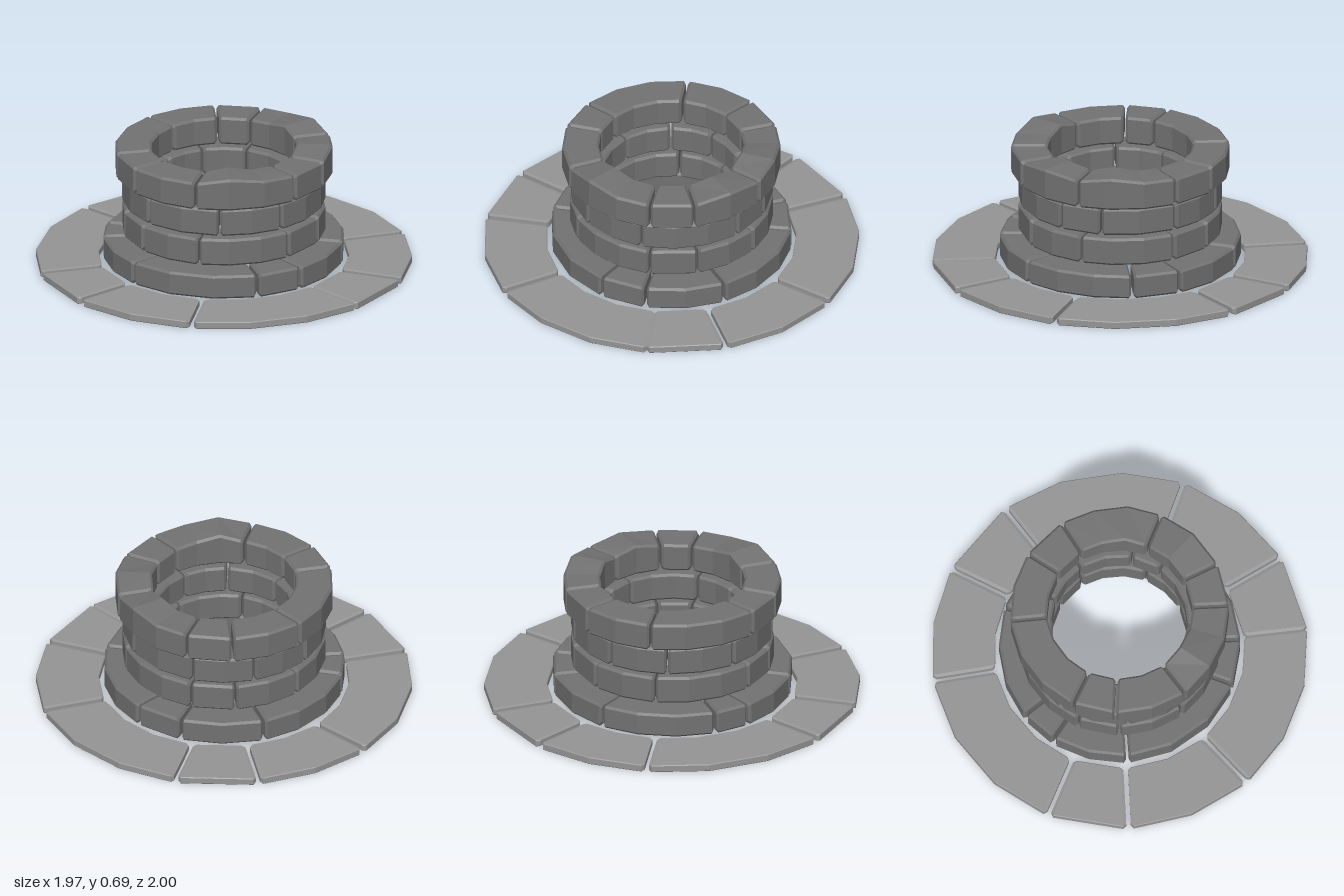
import * as THREE from 'three';

const rad = THREE.MathUtils.degToRad;
const pavingGrey = new THREE.MeshStandardMaterial({ color: 0x959595, flatShading: true });
const wallGrey = new THREE.MeshStandardMaterial({ color: 0x727272, flatShading: true });

// Extra height at an angle, from a list of [angle, height] peaks 20 degrees wide each way.
const bump = (deg, peaks) => peaks.reduce((sum, [a, h]) => {
  const d = Math.abs(((deg - a + 540) % 360) - 180);
  return sum + h * Math.max(0, 1 - d / 20);
}, 0);

// One curved, chamfered stone between two joint angles (degrees, from +x toward +z).
// g0 and g1 are the setbacks from the joints at its two ends.
function stone(a0, a1, g0, g1, { inner, outer, y0, y1, bevel: b, corner, peaks = [] }) {
  // chamfered rectangle, counter-clockwise in (radius, height)
  const section = (r0, r1, lo, hi, c) => [
    [r0 + c, lo], [r1 - c, lo], [r1, lo + c], [r1, hi - c],
    [r1 - c, hi], [r0 + c, hi], [r0, hi - c], [r0, lo + c],
  ];
  const steps = Math.max(1, Math.round((a1 - a0) / 20));
  const loops = [];
  const addLoop = (deg, offset, radial, vertical) => {
    const c = Math.cos(rad(deg)), s = Math.sin(rad(deg));
    const top = y1 + bump(deg, peaks);
    const pts = section(inner + radial, outer - radial, y0 + vertical, top - vertical, b * 0.7);
    loops.push(pts.map(([r, y]) => [r * c - offset * s, y, r * s + offset * c]));
  };
  addLoop(a0, g0, corner, b * 0.7);
  addLoop(a0, g0 + corner, 0, 0);
  for (let k = 1; k < steps; k++) addLoop(a0 + (a1 - a0) * k / steps, 0, 0, 0);
  addLoop(a1, -g1 - corner, 0, 0);
  addLoop(a1, -g1, corner, b * 0.7);

  const n = 8, index = [];
  for (let k = 0; k < loops.length - 1; k++) {
    for (let i = 0; i < n; i++) {
      const p = k * n + i, q = k * n + (i + 1) % n;
      index.push(p, q, q + n, p, q + n, p + n);
    }
  }
  const end = (loops.length - 1) * n;
  for (let i = 1; i < n - 1; i++) {
    index.push(0, i + 1, i, end, end + i, end + i + 1);
  }
  const geometry = new THREE.BufferGeometry();
  geometry.setAttribute('position', new THREE.Float32BufferAttribute(loops.flat(2), 3));
  geometry.setIndex(index);
  const flat = geometry.toNonIndexed();
  flat.computeVertexNormals();
  return flat;
}

// A full ring of stones separated at the given joint angles; the tight joint has no gap.
function course(name, material, joints, size) {
  const group = new THREE.Group();
  group.name = name;
  const setback = (a) => (a === size.tight ? 0 : size.gap / 2);
  joints.forEach((a, i) => {
    const next = i + 1 < joints.length ? joints[i + 1] : joints[0] + 360;
    const mesh = new THREE.Mesh(stone(a, next, setback(a), setback(next), size), material);
    mesh.name = name + 'Stone' + (i + 1);
    group.add(mesh);
  });
  return group;
}

export function createModel() {
  const model = new THREE.Group();
  model.name = 'stoneWell';
  model.add(
    // flat paving around the foot, with two slabs butted together at the front
    course('paving', pavingGrey, [-110, -73, -47.5, 9.5, 48.5, 73, 127.5, 167, 192],
      { inner: 0.665, outer: 1.0, y0: 0, y1: 0.04, bevel: 0.006, corner: 0.016, gap: 0.024, tight: 73 }),
    // wide footing
    course('footing', wallGrey, [-82, -41, -17, 39, 78, 101, 166, 203, 221],
      { inner: 0.43, outer: 0.64, y0: 0.03, y1: 0.16, bevel: 0.017, corner: 0.012, gap: 0.016 }),
    // two wall courses
    course('lowerWall', wallGrey, [-43, 12, 50, 78, 132, 170, 194, 252, 291],
      { inner: 0.36, outer: 0.54, y0: 0.18, y1: 0.33, bevel: 0.017, corner: 0.012, gap: 0.01 }),
    course('upperWall', wallGrey, [-44, 0, 25, 83, 120, 165, 205, 245, 280],
      { inner: 0.36, outer: 0.54, y0: 0.35, y1: 0.5, bevel: 0.017, corner: 0.012, gap: 0.01 }),
    // uneven rim, raised in three places
    course('rim', wallGrey, [-106, -67, -42, 12, 53, 77, 133, 172, 195],
      { inner: 0.385, outer: 0.58, y0: 0.51, y1: 0.662, bevel: 0.017, corner: 0.012, gap: 0.012,
        peaks: [[113, 0.028], [32, 0.02], [-6, 0.026]] }),
  );
  return model;
}
